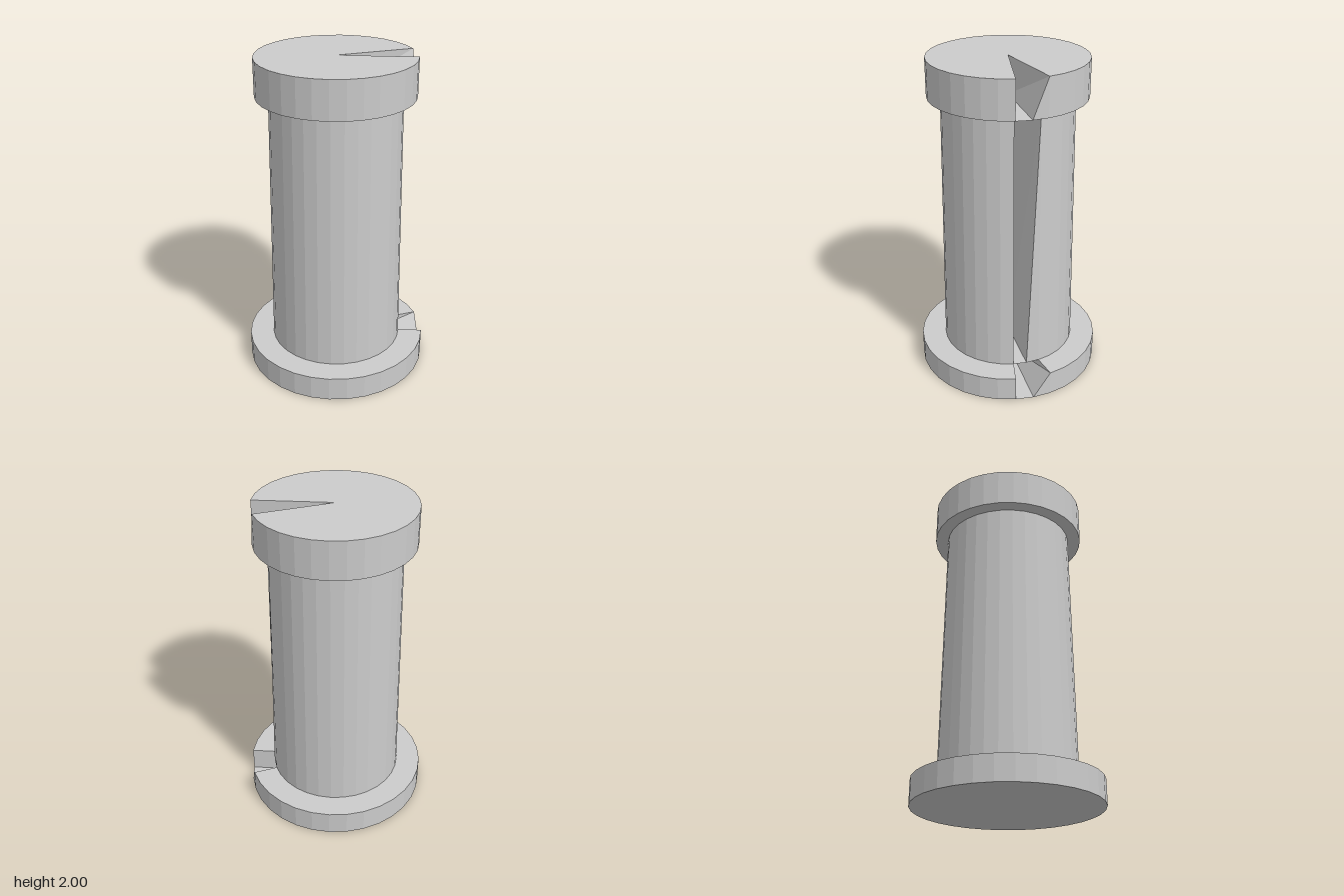
import * as THREE from 'three';

const SIDES = 32;

// Faceted drum with a wedge-shaped notch: one point of the top rim is
// pulled down to the centre of the drum's bottom.
function notchedDrum(name, bottomRadius, topRadius, y0, y1, material) {
  const h = y1 - y0;
  const geometry = new THREE.CylinderGeometry(topRadius, bottomRadius, h, SIDES);
  const angle = (2 * Math.PI) / SIDES;
  const notch = new THREE.Vector3(topRadius * Math.cos(angle), h / 2, -topRadius * Math.sin(angle));
  const pos = geometry.attributes.position;
  const v = new THREE.Vector3();
  for (let i = 0; i < pos.count; i++) {
    if (v.fromBufferAttribute(pos, i).distanceTo(notch) < 1e-3) pos.setXYZ(i, 0, -h / 2, 0);
  }
  const flat = geometry.toNonIndexed();
  flat.computeVertexNormals();
  const mesh = new THREE.Mesh(flat, material);
  mesh.name = name;
  mesh.position.y = (y0 + y1) / 2;
  return mesh;
}

export function createModel() {
  const group = new THREE.Group();
  group.name = 'notchedColumn';
  const material = new THREE.MeshStandardMaterial({ color: 0xcccccc, flatShading: true });

  // Wide foot, slightly tapered shaft, overhanging head
  group.add(
    notchedDrum('base', 0.566, 0.566, 0, 0.153, material),
    notchedDrum('shaft', 0.414, 0.395, 0.153, 1.77, material),
    notchedDrum('capital', 0.475, 0.475, 1.77, 2, material)
  );
  return group;
}
